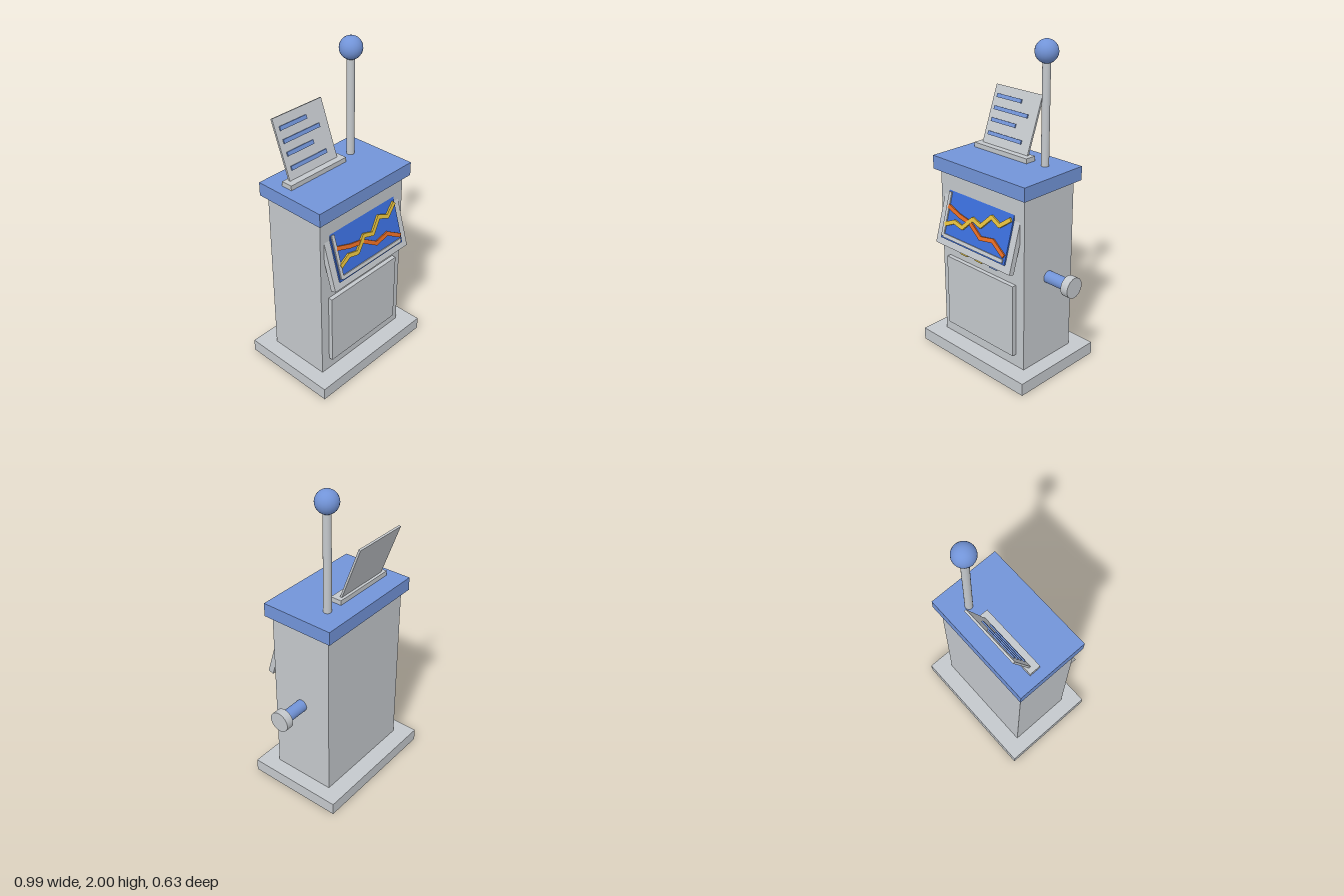
import * as THREE from 'three';

const material = (name, color) => {
  const m = new THREE.MeshStandardMaterial({ color });
  m.name = name;
  return m;
};

export function createModel() {
  const grey = material('light grey', 0xc4c8cc);
  const blue = material('soft blue', 0x7294d8);
  const screenBlue = material('screen blue', 0x3a6cd8);
  const orange = material('orange', 0xe36a22);
  const yellow = material('yellow', 0xe0bc3c);

  const model = new THREE.Group();
  model.name = 'kiosk';

  const add = (parent, name, geometry, mat, x, y, z) => {
    const mesh = new THREE.Mesh(geometry, mat);
    mesh.name = name;
    mesh.position.set(x, y, z);
    parent.add(mesh);
    return mesh;
  };
  // Box given by its lower and upper corners
  const box = (parent, name, mat, [x0, y0, z0], [x1, y1, z1]) =>
    add(parent, name, new THREE.BoxGeometry(x1 - x0, y1 - y0, z1 - z0), mat,
      (x0 + x1) / 2, (y0 + y1) / 2, (z0 + z1) / 2);
  // Group whose origin is the lower front edge of a plate leaning back
  const leaning = (name, y, z, angle) => {
    const g = new THREE.Group();
    g.name = name;
    g.position.set(0, y, z);
    g.rotation.x = -angle;
    model.add(g);
    return g;
  };

  // Cabinet
  box(model, 'base', grey, [-0.495, 0, -0.315], [0.388, 0.08, 0.315]);
  box(model, 'cabinet', grey, [-0.4, 0.08, -0.205], [0.293, 1.185, 0.205]);
  box(model, 'countertop', blue, [-0.432, 1.185, -0.238], [0.324, 1.27, 0.238]);
  box(model, 'door', grey, [-0.34, 0.16, 0.2], [0.228, 0.63, 0.232]);

  // Buttons under the display
  [yellow, yellow, blue].forEach((mat, i) => {
    const x = -0.18 + i * 0.125;
    box(model, 'button', mat, [x - 0.031, 0.69, 0.212], [x + 0.031, 0.732, 0.238]);
  });

  // Tilted display: frame, screen, chart axes and the two chart lines
  const tilt = 0.283;
  const display = leaning('display', 0.738, 0.291, tilt);
  const up = (y) => (y - 0.738) / Math.cos(tilt);
  box(display, 'displayFrame', grey, [-0.37, 0, -0.036], [0.26, 0.385, 0]);
  box(display, 'screen', screenBlue, [-0.327, up(0.78), -0.004], [0.215, up(1.08), 0.01]);
  box(display, 'verticalAxis', grey, [-0.32, up(0.795), 0.008], [-0.298, up(1.058), 0.018]);
  box(display, 'horizontalAxis', grey, [-0.305, up(0.789), 0.008], [0.2, up(0.811), 0.018]);

  const chartLine = (name, mat, heights, depth) => {
    const step = 0.5 / (heights.length - 1);
    for (let i = 1; i < heights.length; i++) {
      const y0 = up(heights[i - 1]), y1 = up(heights[i]);
      const length = Math.hypot(step, y1 - y0) + 0.008;
      const bar = add(display, name, new THREE.BoxGeometry(length, 0.025, depth), mat,
        -0.3 + (i - 0.5) * step, (y0 + y1) / 2, 0.008 + depth / 2);
      bar.rotation.z = Math.atan2(y1 - y0, step);
    }
  };
  chartLine('fallingLine', orange, [0.975, 0.945, 0.928, 0.87, 0.886, 0.83], 0.012);
  chartLine('risingLine', yellow, [0.868, 0.9, 0.886, 0.957, 0.937, 1.01, 0.981, 1.035], 0.014);

  // Paper sheet leaning in its holder
  box(model, 'sheetHolder', grey, [-0.37, 1.27, -0.115], [0.07, 1.3, -0.042]);
  const lean = 0.35;
  const sheet = leaning('sheet', 1.3, -0.083, lean);
  box(sheet, 'paper', grey, [-0.339, -0.01, -0.013], [0.038, 0.363, 0]);
  [1.361, 1.439, 1.508, 1.579].forEach((y, i) => {
    const v = (y - 1.3) / Math.cos(lean);
    box(sheet, 'textBar', blue, [-0.308, v - 0.012, -0.002], [i % 2 ? -0.105 : -0.03, v + 0.012, 0.008]);
  });

  // Pole with a ball on top
  add(model, 'pole', new THREE.CylinderGeometry(0.024, 0.024, 0.64, 20), grey, 0.166, 1.58, -0.096);
  add(model, 'ball', new THREE.SphereGeometry(0.068, 20, 14), blue, 0.166, 1.932, -0.096);

  // Side crank
  const crank = (name, mat, radius, x0, x1) => {
    const part = add(model, name, new THREE.CylinderGeometry(radius, radius, x1 - x0, 24), mat, (x0 + x1) / 2, 0.634, 0);
    part.rotation.z = -Math.PI / 2;
  };
  crank('crankShaft', blue, 0.038, 0.28, 0.45);
  crank('crankKnob', grey, 0.064, 0.445, 0.495);

  return model;
}
